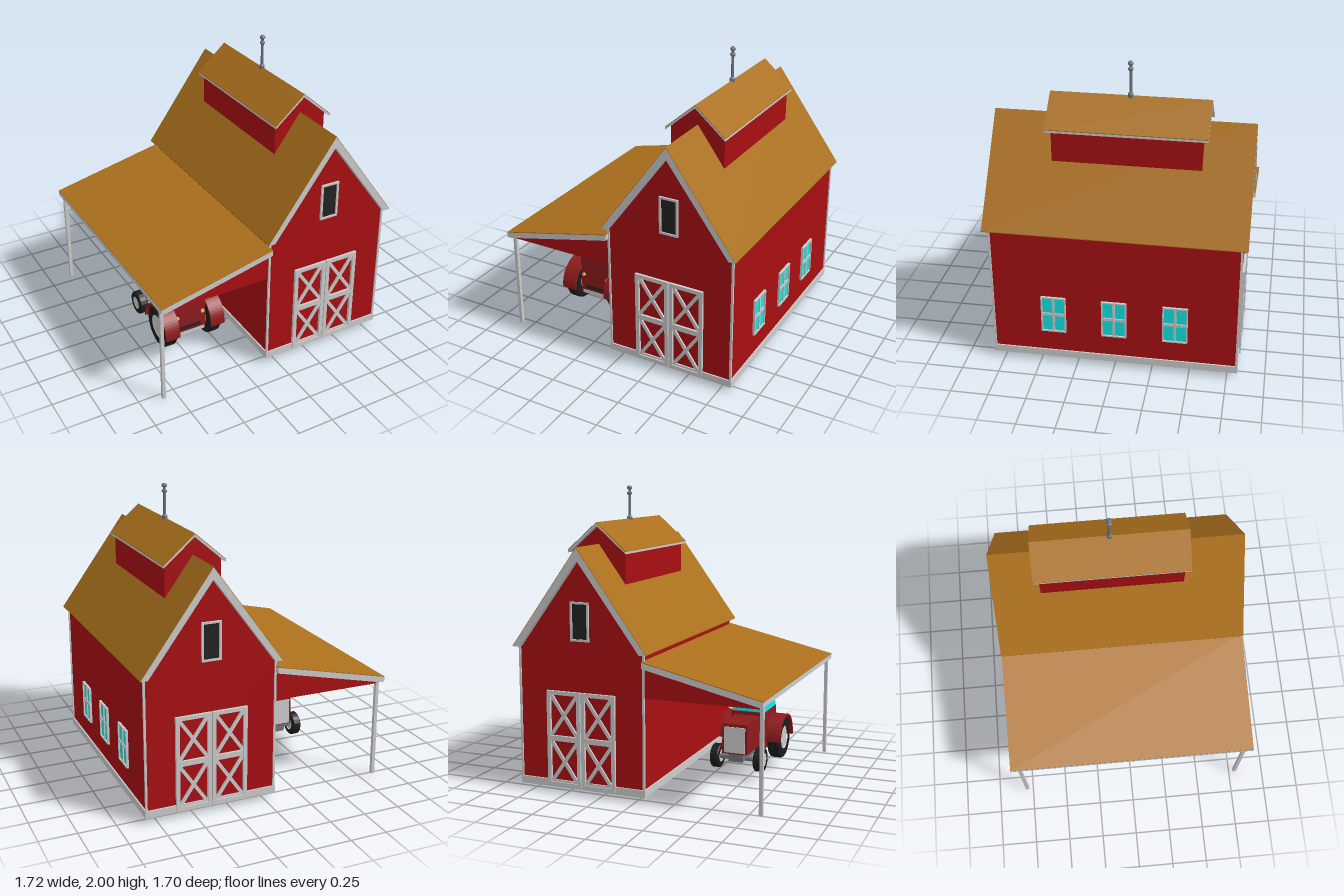
import * as THREE from 'three';

const mat = (color, side = THREE.FrontSide) =>
  new THREE.MeshStandardMaterial({ color, side, flatShading: true });
const RED = mat(0xa80f12), GREY = mat(0xcccccc), BROWN = mat(0xab701c), DARK = mat(0x222222);
const GLASS = mat(0x10e4e4), PAINT = mat(0x8e1a1c), TYRE = mat(0x1c1c1c), METAL = mat(0x707478);
const LAMP = mat(0xe0d860);

function add(parent, name, geometry, material, x = 0, y = 0, z = 0) {
  const mesh = new THREE.Mesh(geometry, material);
  mesh.name = name;
  mesh.position.set(x, y, z);
  parent.add(mesh);
  return mesh;
}
function group(parent, name, x = 0, y = 0, z = 0) {
  const g = new THREE.Group();
  g.name = name;
  g.position.set(x, y, z);
  parent.add(g);
  return g;
}
// Box given by its limits on each axis
function box(parent, name, material, x0, x1, y0, y1, z0, z1) {
  return add(parent, name, new THREE.BoxGeometry(x1 - x0, y1 - y0, z1 - z0), material,
    (x0 + x1) / 2, (y0 + y1) / 2, (z0 + z1) / 2);
}
// Outline in x,y swept from z0 to z1
function prism(parent, name, material, pts, z0, z1) {
  const shape = new THREE.Shape(pts.map(p => new THREE.Vector2(...p)));
  const g = new THREE.ExtrudeGeometry(shape, { depth: z1 - z0, bevelEnabled: false, curveSegments: 1 });
  return add(parent, name, g, material, 0, 0, z0);
}
// Thin coloured covering that follows a roof line
function skin(parent, name, line, z0, z1) {
  const t = 0.005;
  const under = line.map(([x, y]) => [x, y]).reverse();
  prism(parent, name, BROWN, [...under, ...line.map(([x, y]) => [x, y + t])], z0, z1);
}
// Rectangular frame in the x,y plane
function frame(parent, name, material, x0, x1, y0, y1, t, z0, z1) {
  box(parent, name + 'LeftStile', material, x0, x0 + t, y0, y1, z0, z1);
  box(parent, name + 'RightStile', material, x1 - t, x1, y0, y1, z0, z1);
  box(parent, name + 'BottomRail', material, x0 + t, x1 - t, y0, y0 + t, z0, z1);
  box(parent, name + 'TopRail', material, x0 + t, x1 - t, y1 - t, y1, z0, z1);
}

// Gable end with double barn doors and a loft window, facing +z
function gableEnd(parent, name) {
  const end = group(parent, name);
  prism(end, 'gableWall', RED,
    [[-0.442, 0.04], [0.442, 0.04], [0.442, 0.98], [0, 1.59], [-0.442, 0.98]], 0.79, 0.81);
  for (const s of [-1, 1]) {
    const door = group(end, 'barnDoor', s * 0.124);
    frame(door, 'door', GREY, -0.121, 0.121, 0.05, 0.69, 0.026, 0.808, 0.828);
    box(door, 'doorMiddleRail', GREY, -0.095, 0.095, 0.354, 0.39, 0.808, 0.826);
    for (const [y0, y1] of [[0.076, 0.354], [0.39, 0.664]]) {
      const h = y1 - y0, w = 0.19;
      for (const d of [-1, 1]) {
        const brace = add(door, 'doorBrace', new THREE.BoxGeometry(0.023, Math.hypot(w, h) - 0.012, 0.014),
          GREY, 0, (y0 + y1) / 2, 0.815);
        brace.rotation.z = d * Math.atan2(w, h);
      }
    }
  }
  frame(end, 'loftWindow', GREY, -0.066, 0.066, 1.025, 1.28, 0.014, 0.808, 0.822);
  box(end, 'loftOpening', DARK, -0.052, 0.052, 1.039, 1.266, 0.808, 0.814);
  return end;
}

// Four-pane window, facing +z, centred on x = 0
function paneWindow(parent, x, y) {
  const w = group(parent, 'sideWindow', x, y);
  frame(w, 'window', GREY, -0.083, 0.083, -0.132, 0.132, 0.009, 0, 0.016);
  box(w, 'windowMullion', GREY, -0.008, 0.008, -0.123, 0.123, 0, 0.014);
  box(w, 'windowCrossbar', GREY, -0.074, 0.074, -0.01, 0.01, 0, 0.013);
  box(w, 'windowGlass', GLASS, -0.074, 0.074, -0.123, 0.123, 0, 0.006);
}

function buildBarn(root) {
  const barn = group(root, 'barn', 0.378);
  gableEnd(barn, 'frontEnd');
  gableEnd(barn, 'backEnd').rotation.y = Math.PI;
  for (const s of [-1, 1]) {
    box(barn, 'sideWall', RED, s * 0.432 - 0.01, s * 0.432 + 0.01, 0.04, 1.0, -0.79, 0.79);
    // Base boards and corner boards
    box(barn, 'sideBaseBoard', GREY, s * 0.441 - 0.011, s * 0.441 + 0.011, 0.04, 0.09, -0.82, 0.82);
    box(barn, 'endBaseBoard', GREY, -0.43, 0.43, 0.04, 0.09, s * 0.81 - 0.01, s * 0.81 + 0.01);
    for (const e of [-1, 1])
      add(barn, 'cornerBoard', new THREE.BoxGeometry(0.014, 0.89, 0.014), GREY, s * 0.443, 0.535, e * 0.811);
  }
  // Windows on the outer side
  const side = group(barn, 'windowRow', 0.442);
  side.rotation.y = Math.PI / 2;
  for (const z of [-0.403, 0, 0.403]) paneWindow(side, z, 0.372);

  // Main roof
  prism(barn, 'mainRoof', GREY,
    [[-0.476, 0.97], [-0.428, 0.97], [0, 1.55], [0.428, 0.97], [0.476, 0.97], [0, 1.625]], -0.85, 0.85);
  skin(barn, 'mainRoofCover', [[-0.476, 0.97], [0, 1.625], [0.476, 0.97]], -0.85, 0.85);

  // Raised ridge vent with its own roof
  const vent = group(barn, 'ridgeVent');
  prism(vent, 'ventWalls', RED,
    [[-0.19, 1.34], [0, 1.58], [0.19, 1.34], [0.19, 1.585], [0, 1.757], [-0.19, 1.585]], -0.525, 0.44);
  prism(vent, 'ventRoof', GREY,
    [[-0.21, 1.57], [0, 1.75], [0.21, 1.57], [0.21, 1.585], [0, 1.768], [-0.21, 1.585]], -0.563, 0.48);
  skin(vent, 'ventRoofCover', [[-0.21, 1.585], [0, 1.768], [0.21, 1.585]], -0.563, 0.48);

  // Lightning rod
  const rod = [[0, 1.75], [0.018, 1.75], [0.018, 1.785], [0.01, 1.795], [0.009, 1.935], [0.018, 1.945],
    [0.018, 1.953], [0.009, 1.96], [0.009, 1.972], [0.018, 1.98], [0.018, 1.99], [0.01, 2], [0, 2]];
  add(barn, 'lightningRod', new THREE.LatheGeometry(rod.map(p => new THREE.Vector2(...p)), 12), METAL, 0, 0, -0.043);
}

function buildLeanTo(root) {
  const lean = group(root, 'leanTo');
  prism(lean, 'leanToRoof', GREY,
    [[-0.862, 0.71], [-0.83, 0.71], [-0.066, 0.887], [-0.066, 0.926], [-0.862, 0.743]], -0.85, 0.85);
  skin(lean, 'leanToCover', [[-0.862, 0.743], [-0.066, 0.926]], -0.85, 0.85);
  prism(lean, 'leanToGable', RED,
    [[-0.828, 0.69], [-0.066, 0.69], [-0.066, 0.895], [-0.828, 0.72]], -0.81, 0.81);
  box(lean, 'frontPost', GREY, -0.851, -0.828, 0, 0.725, 0.78, 0.804);
  box(lean, 'backPost', GREY, -0.851, -0.828, 0.02, 0.725, -0.804, -0.78);
}

// Wheel lying along x, with a pale hub on both faces
function wheel(parent, name, r, w, x, y, z) {
  const g = group(parent, name, x, y, z);
  const c = w * 0.12, h = w / 2;
  const tyre = [[r * 0.55, -h], [r - c, -h], [r, -h + c], [r, h - c], [r - c, h], [r * 0.55, h]];
  add(g, 'tyre', new THREE.LatheGeometry(tyre.map(p => new THREE.Vector2(...p)), 20), TYRE).rotation.z = Math.PI / 2;
  add(g, 'hub', new THREE.CylinderGeometry(r * 0.56, r * 0.56, w * 0.8, 20), GREY).rotation.z = Math.PI / 2;
}

// Tractor parked under the lean-to, its rear toward +z
function buildTractor(root) {
  const t = group(root, 'tractor', -0.445);
  box(t, 'rearBody', PAINT, -0.12, 0.12, 0.16, 0.425, 0.13, 0.42);
  box(t, 'hood', PAINT, -0.09, 0.09, 0.19, 0.4, -0.15, 0.13);
  box(t, 'grille', GREY, -0.075, 0.075, 0.2, 0.38, -0.158, -0.148);
  box(t, 'chassis', METAL, -0.05, 0.05, 0.13, 0.2, -0.13, 0.4);
  box(t, 'rearBar', GREY, -0.12, 0.12, 0.125, 0.15, 0.37, 0.41);
  box(t, 'rearVent', DARK, -0.08, 0.08, 0.18, 0.205, 0.41, 0.426);
  // Cab glass tapering toward the roof
  const cab = new THREE.BoxGeometry(0.24, 0.185, 0.27);
  const p = cab.attributes.position;
  for (let i = 0; i < p.count; i++)
    if (p.getY(i) > 0) p.setXYZ(i, p.getX(i) * 0.82, p.getY(i), p.getZ(i) * 0.85);
  cab.computeVertexNormals();
  add(t, 'cabGlass', cab, GLASS, 0, 0.5175, 0.275);
  box(t, 'cabRoof', PAINT, -0.104, 0.104, 0.608, 0.63, 0.15, 0.4);

  const arch = new THREE.Shape();
  arch.absarc(0, 0, 0.168, -0.1, Math.PI, false);
  arch.absarc(0, 0, 0.154, Math.PI, -0.1, true);
  const fender = new THREE.ExtrudeGeometry(arch, { depth: 0.106, bevelEnabled: false, curveSegments: 14 });
  fender.translate(0, 0, -0.053).rotateY(-Math.PI / 2);
  for (const s of [-1, 1]) {
    wheel(t, 'rearWheel', 0.15, 0.085, s * 0.167, 0.21, 0.34);
    wheel(t, 'frontWheel', 0.083, 0.06, s * 0.155, 0.145, -0.06);
    add(t, 'fender', fender, PAINT, s * 0.172, 0.21, 0.34);
    add(t, 'rearLamp', new THREE.CylinderGeometry(0.013, 0.013, 0.014, 12), LAMP, s * 0.097, 0.287, 0.424)
      .rotation.x = Math.PI / 2;
  }
  for (const [name, y, z, w] of [['rearAxle', 0.21, 0.34, 0.3], ['frontAxle', 0.145, -0.06, 0.29]])
    add(t, name, new THREE.CylinderGeometry(0.018, 0.018, w, 10), METAL, 0, y, z).rotation.z = Math.PI / 2;
}

export function createModel() {
  const root = new THREE.Group();
  root.name = 'barnWithLeanTo';
  buildBarn(root);
  buildLeanTo(root);
  buildTractor(root);
  return root;
}
